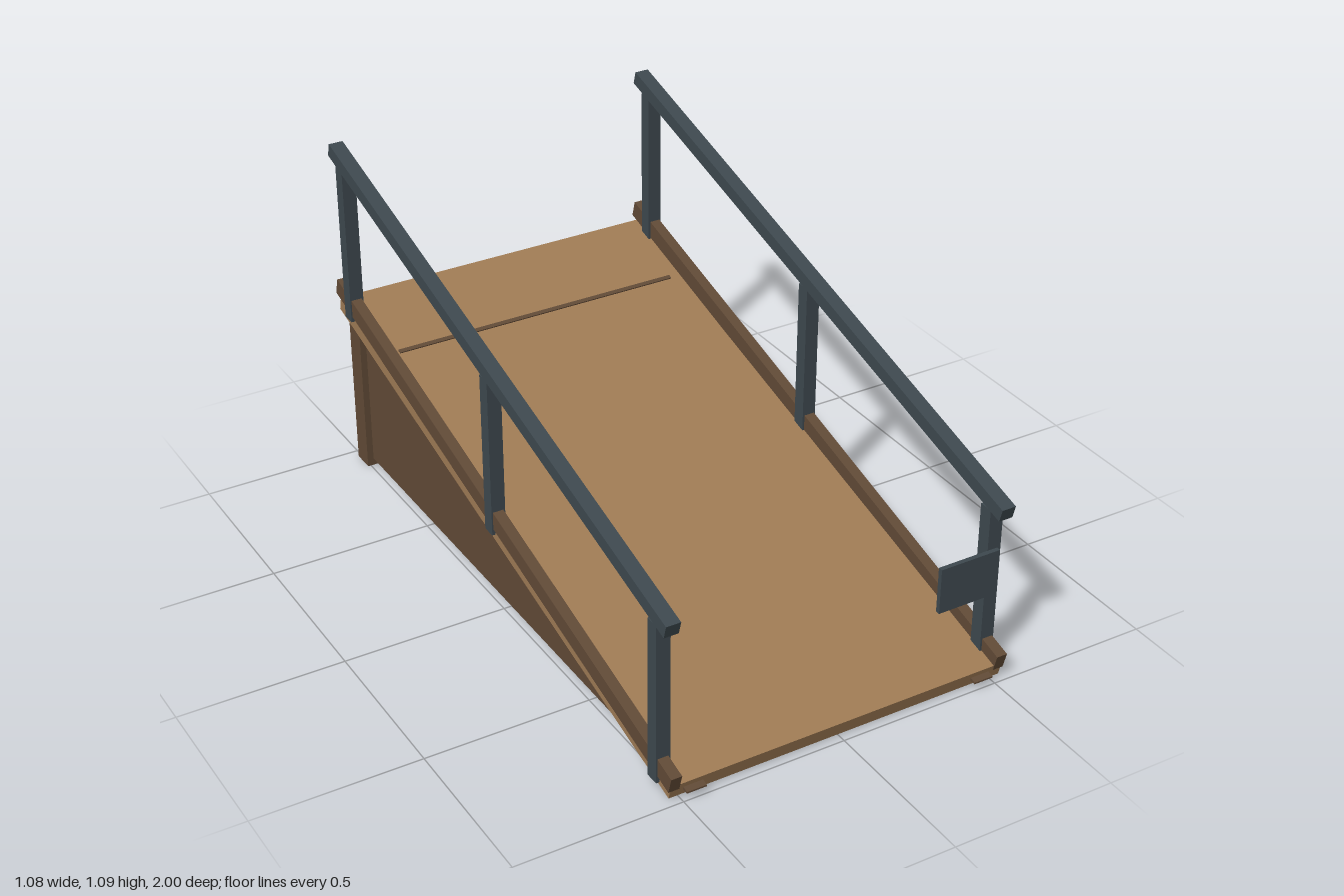
import * as THREE from 'three';

const WOOD = new THREE.MeshStandardMaterial({ color: 0xa07c55 });
const DARK_WOOD = new THREE.MeshStandardMaterial({ color: 0x624b37 });
const STEEL = new THREE.MeshStandardMaterial({ color: 0x3e494f });

const DECK_TILT = THREE.MathUtils.degToRad(14.9);
const RAIL_TILT = THREE.MathUtils.degToRad(15.5);

export function createModel() {
  const model = new THREE.Group();
  model.name = 'accessRamp';

  // Box by size and centre, tilted so that its back end rises
  function box(name, material, [w, h, d], [x, y, z], tilt = 0) {
    const mesh = new THREE.Mesh(new THREE.BoxGeometry(w, h, d), material);
    mesh.name = name;
    mesh.position.set(x, y, z);
    mesh.rotation.x = tilt;
    model.add(mesh);
    return mesh;
  }

  // Sloping deck
  box('deck', WOOD, [1.06, 0.045, 2.028], [0, 0.291, 0], DECK_TILT);

  // Grip strips across the upper deck
  box('gripStrip', DARK_WOOD, [0.94, 0.012, 0.014], [0, 0.498, -0.7], RAIL_TILT);
  box('gripStrip', DARK_WOOD, [0.94, 0.012, 0.004], [0, 0.413, -0.4], RAIL_TILT);

  // Back support panel under the high end
  box('backPanel', DARK_WOOD, [1.02, 0.527, 0.07], [0, 0.267, -0.933]);

  // Wedge profile of the side supports, drawn as (-z, y)
  const wedge = new THREE.Shape();
  wedge.moveTo(-1, 0.026);
  wedge.lineTo(1, 0.026);
  wedge.lineTo(1, 0.53);
  wedge.lineTo(-1, 0.031);
  wedge.closePath();
  const wedgeGeometry = new THREE.ExtrudeGeometry(wedge, { depth: 0.06, bevelEnabled: false });
  wedgeGeometry.translate(0, 0, -0.03);
  wedgeGeometry.rotateY(Math.PI / 2);

  for (const side of [-1, 1]) {
    const prefix = side > 0 ? 'left' : 'right';

    // Side support
    const support = new THREE.Mesh(wedgeGeometry, DARK_WOOD);
    support.name = prefix + 'SideSupport';
    support.position.x = side * 0.46;
    model.add(support);

    // Curb along the deck edge
    box(prefix + 'Curb', DARK_WOOD, [0.033, 0.053, 2.05], [side * 0.52, 0.336, 0.003], RAIL_TILT);

    // Handrail and its posts
    box(prefix + 'Handrail', STEEL, [0.044, 0.042, 2.008], [side * 0.519, 0.805, 0.004], RAIL_TILT);
    for (const [z, y] of [[0.906, 0.28], [0.003, 0.533], [-0.9, 0.786]]) {
      box(prefix + 'Post', STEEL, [0.043, 0.5, 0.043], [side * 0.519, y, z]);
    }
  }

  // Blank sign plate on the front left post
  box('signPlate', STEEL, [0.193, 0.142, 0.014], [0.433, 0.33, 0.934]);

  return model;
}
